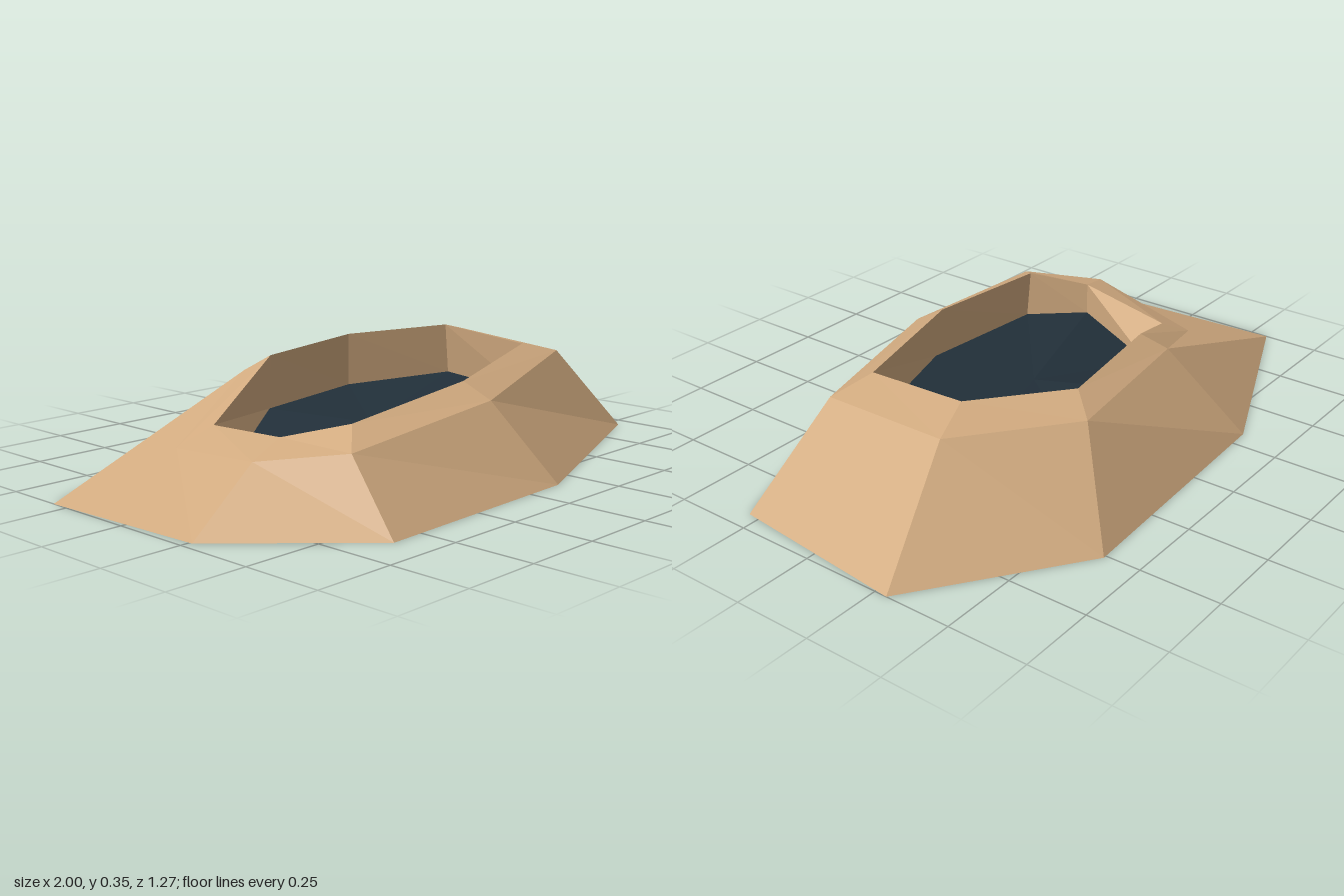
import * as THREE from 'three';

// Eight-sided rings, each corner [x, y, z], running around the mound
const base = [[-1, 0, -0.31], [-0.32, 0, -0.6], [0.51, 0, -0.64], [1, 0, -0.29],
  [0.94, 0, 0.29], [0.14, 0, 0.61], [-0.61, 0, 0.635], [-0.97, 0, 0.26]];
const shoulder = [[-0.65, 0.12, -0.19], [-0.22, 0.27, -0.37], [0.34, 0.29, -0.46], [0.7, 0.315, -0.23],
  [0.67, 0.29, 0.21], [0.04, 0.245, 0.43], [-0.58, 0.2, 0.455], [-0.74, 0.17, 0.24]];
const lip = [[-0.54, 0.177, -0.15], [-0.17, 0.32, -0.3], [0.26, 0.33, -0.37], [0.55, 0.35, -0.18],
  [0.53, 0.325, 0.17], [0.02, 0.295, 0.34], [-0.48, 0.25, 0.36], [-0.6, 0.207, 0.2]];
const floor = [[-0.46, 0.065, -0.14], [-0.155, 0.14, -0.325], [0.29, 0.145, -0.4], [0.59, 0.175, -0.2],
  [0.55, 0.157, 0.175], [0.03, 0.125, 0.365], [-0.48, 0.088, 0.375], [-0.6, 0.1, 0.2]];

function meshFrom(name, triangles, material) {
  const geometry = new THREE.BufferGeometry();
  geometry.setAttribute('position', new THREE.Float32BufferAttribute(triangles.flat(2), 3));
  geometry.computeVertexNormals(); // unshared corners give flat facets
  const mesh = new THREE.Mesh(geometry, material);
  mesh.name = name;
  return mesh;
}

// Band of facets joining two rings
function band(name, a, b, material) {
  const triangles = [];
  a.forEach((p, i) => {
    const j = (i + 1) % a.length;
    triangles.push([p, b[i], b[j]], [p, b[j], a[j]]);
  });
  return meshFrom(name, triangles, material);
}

export function createModel() {
  const group = new THREE.Group();
  group.name = 'crater';
  const sand = new THREE.MeshStandardMaterial({ color: 0xd2ab80, side: THREE.DoubleSide, flatShading: true });
  sand.name = 'sand';
  const dark = new THREE.MeshStandardMaterial({ color: 0x22303a, side: THREE.DoubleSide, flatShading: true });
  dark.name = 'darkSlate';

  // Rocky mound: outer slope, sloping rim and inner wall
  group.add(band('outerSlope', base, shoulder, sand));
  group.add(band('rim', shoulder, lip, sand));
  group.add(band('innerWall', lip, floor, sand));

  // Dark pool as a fan around its centre
  const centre = [0, 1, 2].map((k) => floor.reduce((sum, p) => sum + p[k], 0) / floor.length);
  group.add(meshFrom('pool', floor.map((p, i) => [p, centre, floor[(i + 1) % floor.length]]), dark));
  return group;
}
